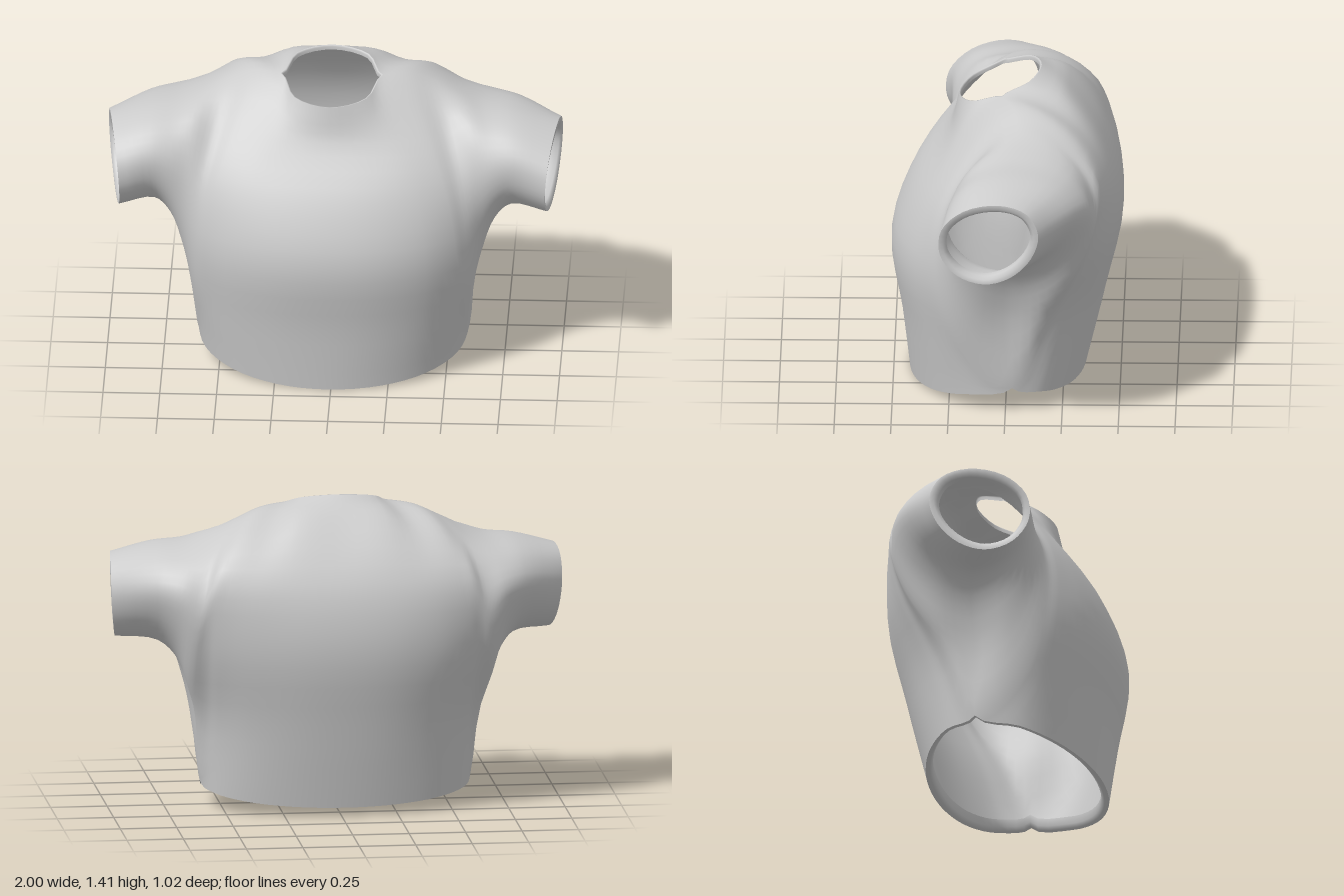
import * as THREE from 'three';
import { mergeVertices } from 'three/addons/utils/BufferGeometryUtils.js';

const ROWS = 20;      // steps from the top seam to the bottom seam
const SUB = 4;        // columns between two neighbouring sections
const NECK = 2;       // from this section on, front and back join at the shoulder
const HEM = 4;        // from this section on, they also join at the side seam
const LAST = 8;       // section at the cuff
const COLS = 2 * LAST * SUB;

const vec = (x, y, z) => new THREE.Vector3(x, y, z);

// Centre-line profiles: share of the way from neck x to hem x, height, depth, half-width there
const PROFILE = {
  front: [[.42, 1.12, .255, .6], [.8, .9, .415, .71], [1, .63, .51, .69], [.95, .3, .465, .63]],
  back: [[.42, 1.33, -.275, 1.2], [.8, 1.07, -.465, 1.1], [1, .78, -.512, .83], [.95, .42, -.44, .65]],
};

// Shoulder seam between the neck and the sleeve
const SHOULDER = [vec(.34, 1.335, -.03), vec(.45, 1.29, -.05)];

// Sleeve rings: top, bottom, then [depth, sideways bulge, upward bias] for front and back
const SLEEVE = [
  { top: vec(.56, 1.24, -.05), bottom: vec(.625, .45, -.03), front: [.3, .055, .1], back: [-.34, .06, .3] },
  { top: vec(.66, 1.205, -.03), bottom: vec(.69, .655, -.03), front: [.285, .045, .1], back: [-.33, .05, .3] },
  { top: vec(.8, 1.185, 0), bottom: vec(.78, .745, 0), front: [.26, .01, .1], back: [-.3, .025, .3] },
  { top: vec(.985, 1.135, .02), bottom: vec(.955, .75, .09), front: [.235, -.03, .1], back: [-.2, .025, .1] },
];

// Torso section: end points on the neck ellipse and the hem, depth falling off towards the side
function torsoPoints(k, side) {
  const isFront = side === 'front';
  const a = Math.min(1, k / NECK) * Math.PI / 2;
  const z = 0.02 + (isFront ? 0.195 : -0.17) * Math.cos(a);
  const top = k > NECK ? SHOULDER[k - NECK - 1] : vec(0.225 * Math.sin(a), 1.345 - 0.36 * (z - 0.02), z);

  const h = (k / HEM) * Math.PI / 2;
  const c = Math.max(0, Math.cos(h)) ** 0.9;
  const bottom = vec(0.6 * Math.sin(h), 0.115 - (isFront ? 0.115 : 0.075) * c, -0.03 + (isFront ? 0.46 : -0.32) * c);

  const mids = PROFILE[side].map(([share, y, depth, half]) => {
    const x = THREE.MathUtils.lerp(top.x, bottom.x, share);
    const falloff = (1 - (x / half) ** 2.2) ** (1 / 2.2);
    return vec(x, Math.min(y, top.y - 0.06), 0.02 + (depth - 0.02) * falloff);
  });
  return [top, ...mids, bottom];
}

// Sleeve section: half an ellipse between the top and bottom seams
function sleevePoints(ring, side) {
  const [depth, bulge, bias] = ring[side];
  return Array.from({ length: 6 }, (_, i) => {
    const s = Math.sin(i * Math.PI / 5), c = Math.cos(i * Math.PI / 5);
    return ring.top.clone().lerp(ring.bottom, (1 - c) / 2).add(vec(bulge * s, 0, depth * s * (1 + bias * c)));
  });
}

// Smooth one section into ROWS + 1 points for the front and for the back
function sampleSection(k) {
  const points = (side) => (k <= HEM ? torsoPoints(k, side) : sleevePoints(SLEEVE[k - HEM - 1], side));
  const f = points('front'), b = points('back');
  const steps = Array.from({ length: ROWS + 1 }, (_, i) => i / ROWS);
  let front, back;
  if (k >= HEM) {
    const c = new THREE.CatmullRomCurve3([...f, ...b.slice(1, -1).reverse()], true);
    front = (t) => c.getPoint(t / 2);
    back = (t) => c.getPoint(t === 0 ? 0 : 1 - t / 2);
  } else if (k >= NECK) {
    const c = new THREE.CatmullRomCurve3([...b.reverse(), ...f.slice(1)]);
    front = (t) => c.getPoint(0.5 + t / 2);
    back = (t) => c.getPoint(0.5 - t / 2);
  } else {
    const cf = new THREE.CatmullRomCurve3(f), cb = new THREE.CatmullRomCurve3(b);
    front = (t) => cf.getPoint(t);
    back = (t) => cb.getPoint(t);
  }
  return { front: steps.map(front), back: steps.map(back) };
}

// Run smooth curves from cuff to cuff through the sections; result is grid[column][row]
function makePanel(sections, side) {
  const grid = Array.from({ length: COLS + 1 }, () => []);
  for (let i = 0; i <= ROWS; i++) {
    const left = sections.map((s) => s[side][i]);
    const right = left.slice(1).reverse().map((p) => vec(-p.x, p.y, p.z));
    const curve = new THREE.CatmullRomCurve3([...right, ...left]);
    for (let j = 0; j <= COLS; j++) {
      const p = curve.getPoint(j / COLS);
      p.x -= 0.015 * (1 - Math.min(1, Math.abs(p.x)));   // body hangs slightly to one side
      grid[j].push(p);
    }
  }
  return grid;
}

function addGrid(positions, grid, flip) {
  for (let j = 0; j < grid.length - 1; j++) {
    for (let i = 0; i < grid[j].length - 1; i++) {
      const a = grid[j][i], b = grid[j][i + 1], c = grid[j + 1][i + 1], d = grid[j + 1][i];
      const order = flip ? [a, c, b, a, d, c] : [a, b, c, a, c, d];
      for (const p of order) positions.push(p.x, p.y, p.z);
    }
  }
}

function makeMesh(name, positions, material) {
  let g = new THREE.BufferGeometry();
  g.setAttribute('position', new THREE.Float32BufferAttribute(positions, 3));
  g = mergeVertices(g, 1e-4);
  g.computeVertexNormals();
  const mesh = new THREE.Mesh(g, material);
  mesh.name = name;
  return mesh;
}

// Turned-in edge of an opening: narrows by width, then runs depth along the inward direction
function makeBand(name, ring, inward, width, depth, material, flip) {
  const centre = ring.reduce((s, p) => s.add(p), vec(0, 0, 0)).divideScalar(ring.length);
  const grid = [...ring, ring[0]].map((p) => {
    const toCentre = centre.clone().sub(p).projectOnPlane(inward).normalize();
    const at = (w, d) => p.clone().addScaledVector(toCentre, w).addScaledVector(inward, d);
    return [p, at(width * 0.6, 0), at(width, depth * 0.3), at(width, depth)];
  });
  const positions = [];
  addGrid(positions, grid, flip);
  return makeMesh(name, positions, material);
}

export function createModel() {
  const group = new THREE.Group();
  group.name = 'shirt';
  const material = new THREE.MeshStandardMaterial({ color: 0xcccccc, side: THREE.DoubleSide });

  const sections = Array.from({ length: LAST + 1 }, (_, k) => sampleSection(k));
  const front = makePanel(sections, 'front');
  const back = makePanel(sections, 'back');

  // Close the shoulder, side and sleeve seams
  const mid = COLS / 2;
  for (let j = 0; j <= COLS; j++) {
    const k = Math.abs(j - mid) / SUB;
    for (const [row, start] of [[0, NECK], [ROWS, HEM]]) {
      if (k < start) continue;
      const p = front[j][row].clone().lerp(back[j][row], 0.5);
      front[j][row] = p;
      back[j][row] = p;
    }
  }

  // Body and sleeves as one shell
  const shell = [];
  addGrid(shell, front, false);
  addGrid(shell, back, true);
  group.add(makeMesh('bodyAndSleeves', shell, material));

  // Neck and hem openings
  const opening = (row, key) => {
    const lo = mid - key * SUB, hi = mid + key * SUB;
    const across = front.slice(lo, hi + 1).map((c) => c[row]);
    const behind = back.slice(lo + 1, hi).map((c) => c[row]).reverse();
    return [...across, ...behind];
  };
  group.add(makeBand('neckBand', opening(0, NECK), vec(0, -1, 0), 0.008, 0.02, material, true));
  group.add(makeBand('hemBand', opening(ROWS, HEM), vec(0, 1, 0), 0.035, 0.05, material, false));

  // Sleeve openings
  for (const [name, j, dir] of [['rightCuff', 0, 1], ['leftCuff', COLS, -1]]) {
    const ring = [...front[j], ...back[j].slice(1, -1).reverse()];
    group.add(makeBand(name, ring, vec(dir, 0, 0), 0.035, 0.05, material, dir < 0));
  }
  return group;
}
